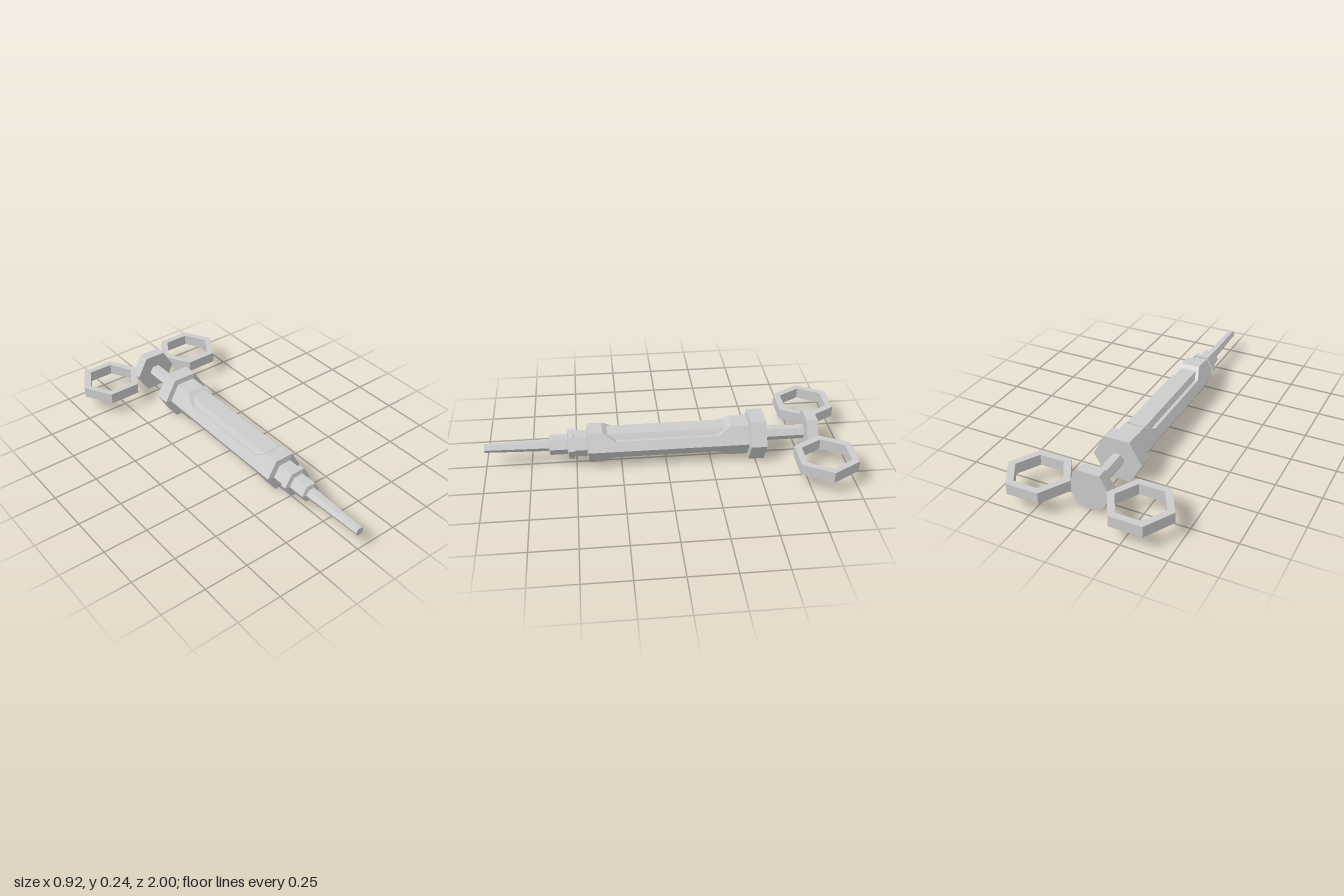
import * as THREE from 'three';

const AXIS_Y = 0.121;
const material = new THREE.MeshStandardMaterial({ color: 0xcccccc, flatShading: true });

function addMesh(group, name, geometry) {
  const mesh = new THREE.Mesh(geometry, material);
  mesh.name = name;
  group.add(mesh);
  return mesh;
}

// Six-sided turned part along z; profile is [radius, z] from back to front
function hexTurned(profile) {
  const points = profile.map(([r, z]) => new THREE.Vector2(r, z));
  return new THREE.LatheGeometry(points, 6, Math.PI / 2).rotateX(Math.PI / 2);
}

// Hexagonal sleeve whose top and bottom are planed down to half-height h
function planedSleeve(sections) {
  const positions = [];
  const index = [];
  for (const [z, r, h] of sections) {
    const w = r - h / Math.sqrt(3);
    for (const [x, y] of [[r, 0], [w, h], [-w, h], [-r, 0], [-w, -h], [w, -h]]) positions.push(x, y, z);
  }
  for (let s = 0; s < sections.length - 1; s++) {
    for (let i = 0; i < 6; i++) {
      const a = s * 6 + i;
      const b = s * 6 + (i + 1) % 6;
      index.push(a, b, b + 6, a, b + 6, a + 6);
    }
  }
  const geometry = new THREE.BufferGeometry();
  geometry.setAttribute('position', new THREE.Float32BufferAttribute(positions, 3));
  geometry.setIndex(index);
  geometry.computeVertexNormals();
  return geometry;
}

function hexPoints(r) {
  return Array.from({ length: 6 }, (_, i) =>
    new THREE.Vector2(r * Math.cos(i * Math.PI / 3), r * Math.sin(i * Math.PI / 3)));
}

export function createModel() {
  const model = new THREE.Group();
  model.name = 'syringe';
  const parts = new THREE.Group();
  parts.name = 'syringeParts';
  parts.position.y = AXIS_Y;
  model.add(parts);

  // Barrel: outer sleeve with long top and bottom openings, inner tube showing through
  addMesh(parts, 'barrelSleeve', planedSleeve([
    [-0.47, 0.108, 0.0935], [-0.355, 0.108, 0.0935], [-0.28, 0.108, 0.048],
    [0.28, 0.108, 0.048], [0.352, 0.108, 0.0935], [0.432, 0.108, 0.0935], [0.44, 0.06, 0.052],
  ]));
  addMesh(parts, 'innerTube', hexTurned([[0, -0.42], [0.089, -0.42], [0.089, 0.41], [0, 0.41]]));
  addMesh(parts, 'rearCollar', hexTurned([
    [0, -0.55], [0.14, -0.55], [0.14, -0.463], [0.1, -0.455], [0, -0.455],
  ]));

  // Stepped nose and tapering needle
  addMesh(parts, 'neck', hexTurned([[0, 0.42], [0.072, 0.42], [0.072, 0.52], [0, 0.52]]));
  addMesh(parts, 'noseFlange', hexTurned([
    [0, 0.508], [0.083, 0.508], [0.083, 0.54], [0.053, 0.547], [0, 0.547],
  ]));
  addMesh(parts, 'needleHub', hexTurned([
    [0, 0.53], [0.056, 0.53], [0.056, 0.642], [0.03, 0.65], [0, 0.65],
  ]));
  addMesh(parts, 'needle', hexTurned([[0, 0.63], [0.034, 0.63], [0.024, 1], [0, 1]]));

  // Plunger
  addMesh(parts, 'plungerRod', hexTurned([[0, -0.8], [0.04, -0.8], [0.04, -0.53], [0, -0.53]]));
  addMesh(parts, 'plungerPlate', hexTurned([[0, -0.842], [0.123, -0.842], [0.123, -0.779], [0, -0.779]]));

  // Finger rings on either side of the plunger plate
  const ringShape = new THREE.Shape(hexPoints(0.181));
  ringShape.holes.push(new THREE.Path(hexPoints(0.139)));
  const ringGeometry = new THREE.ExtrudeGeometry(ringShape, { depth: 0.062, bevelEnabled: false })
    .translate(0, 0, -0.031).rotateX(-Math.PI / 2);
  for (const [name, side] of [['leftFingerRing', 1], ['rightFingerRing', -1]]) {
    addMesh(parts, name, ringGeometry).position.set(side * 0.281, 0, -0.843);
  }
  return model;
}
